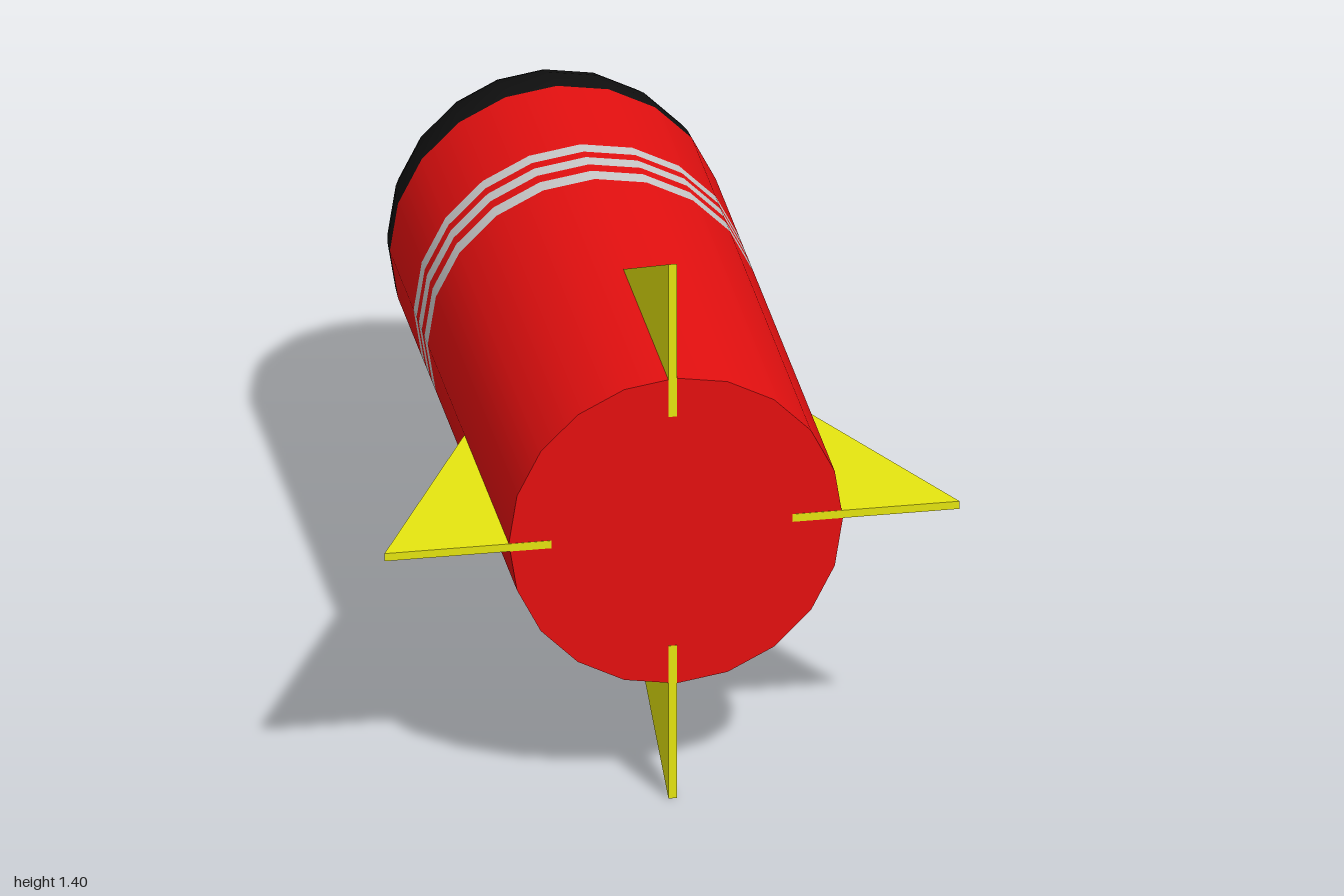
import * as THREE from 'three';

const SIDES = 20, RADIUS = 0.4, CX = 0.008, CY = 0.7;

export function createModel() {
  const model = new THREE.Group();
  model.name = 'rocket';
  const red = new THREE.MeshStandardMaterial({ color: 0xe61010 });
  const grey = new THREE.MeshStandardMaterial({ color: 0xcccccc });
  const black = new THREE.MeshStandardMaterial({ color: 0x101010 });
  const yellow = new THREE.MeshStandardMaterial({ color: 0xe6e610 });

  const add = (name, geometry, material, x, y, z) => {
    const mesh = new THREE.Mesh(geometry, material);
    mesh.name = name;
    mesh.position.set(x, y, z);
    model.add(mesh);
    return mesh;
  };

  // Hull: alternating red sections and flush grey stripes, tail to nose
  const breaks = [1, -0.09, -0.135, -0.17, -0.21, -0.24, -0.28, -0.6];
  for (let i = 0; i < breaks.length - 1; i++) {
    const length = breaks[i] - breaks[i + 1];
    const tube = new THREE.CylinderGeometry(RADIUS, RADIUS, length, SIDES, 1, true).rotateX(Math.PI / 2);
    const stripe = i % 2 === 1;
    add(stripe ? 'stripe' : 'hullSection', tube, stripe ? grey : red, CX, CY, (breaks[i] + breaks[i + 1]) / 2);
  }
  add('tailCap', new THREE.CircleGeometry(RADIUS, SIDES), red, CX, CY, 1);

  // Rounded nose pointing to -z
  const dome = new THREE.SphereGeometry(RADIUS, SIDES, 12, 0, Math.PI * 2, 0, Math.PI / 2).rotateX(-Math.PI / 2);
  add('nose', dome, black, CX, CY, -0.6);

  // Triangular fins, rooted inside the hull; drawn as (z, radius) and turned upright
  const finShape = new THREE.Shape([[0.2, 0.3], [1.001, 0.3], [1.001, 0.7]].map(([z, r]) => new THREE.Vector2(z, r)));
  const finGeometry = new THREE.ExtrudeGeometry(finShape, { depth: 0.02, bevelEnabled: false })
    .translate(0, 0, -0.01)
    .rotateY(-Math.PI / 2);
  const fins = [
    ['topFin', 0, 0, 0],
    ['leftFin', -Math.PI / 2, -0.013, 0.01],
    ['bottomFin', Math.PI, 0, 0],
    ['rightFin', Math.PI / 2, 0.01, -0.01],
  ];
  for (const [name, angle, dx, dy] of fins) {
    add(name, finGeometry, yellow, dx, CY + dy, 0).rotation.z = angle;
  }
  return model;
}
